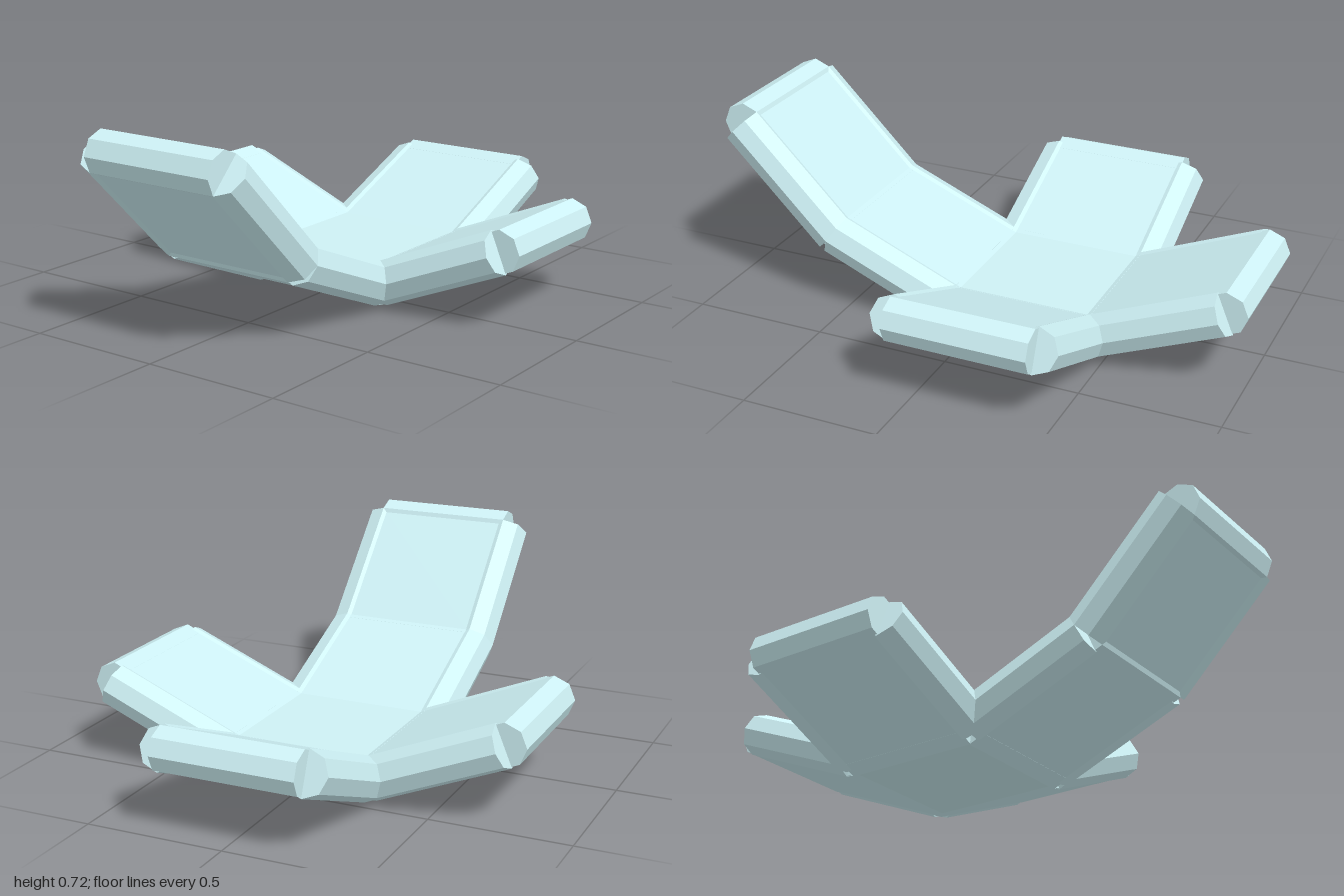
import * as THREE from 'three';

const SIDE = 0.5176;      // edge of every square panel
const THICK = 0.147;      // panel thickness
const R = 0.08;           // radius of the octagonal edge bars
const TILT = Math.PI / 8; // fold of the first panels

export function createModel() {
  const model = new THREE.Group();
  model.name = 'unfoldedBox';
  const material = new THREE.MeshStandardMaterial({ color: 0xcdf0f4, flatShading: true });

  const panelGeo = new THREE.BoxGeometry(SIDE, THICK, SIDE);
  const barGeoZ = new THREE.CylinderGeometry(R, R, SIDE, 8).rotateX(Math.PI / 2);
  const barGeoX = new THREE.CylinderGeometry(R, R, SIDE, 8).rotateZ(Math.PI / 2);

  const add = (parent, geo, name, x, y, z) => {
    const mesh = new THREE.Mesh(geo, material);
    mesh.name = name;
    mesh.position.set(x, y, z);
    parent.add(mesh);
    return mesh;
  };

  // Chain of panels folding upward along local +x, starting at an edge of the base
  const addArm = (name, yaw, tilts) => {
    const arm = new THREE.Group();
    arm.name = name;
    arm.rotation.y = yaw;
    let x = SIDE / 2, y = 0;
    add(arm, barGeoZ, 'hingeBar', x, y, 0);
    tilts.forEach((tilt, i) => {
      const flap = new THREE.Group();
      flap.name = 'flap';
      flap.position.set(x, y, 0);
      flap.rotation.z = tilt;
      add(flap, panelGeo, 'flapPanel', SIDE / 2, 0, 0);
      for (const s of [-1, 1]) add(flap, barGeoX, 'sideRim', SIDE / 2, 0, s * SIDE / 2);
      arm.add(flap);
      // bar across the far edge keeps its upright orientation
      x += SIDE * Math.cos(tilt);
      y += SIDE * Math.sin(tilt);
      add(arm, barGeoZ, i < tilts.length - 1 ? 'foldBar' : 'endRim', x, y, 0);
    });
    model.add(arm);
  };

  // Base panel and the four arms, one of them two panels long
  add(model, panelGeo, 'basePanel', 0, 0, 0);
  addArm('leftArm', 0, [TILT]);
  addArm('backArm', Math.PI / 2, [TILT]);
  addArm('rightArm', Math.PI, [TILT, TILT * 2]);
  addArm('frontArm', -Math.PI / 2, [TILT]);

  model.position.set(0.183, R, 0);
  const root = new THREE.Group();
  root.add(model);
  return root;
}
